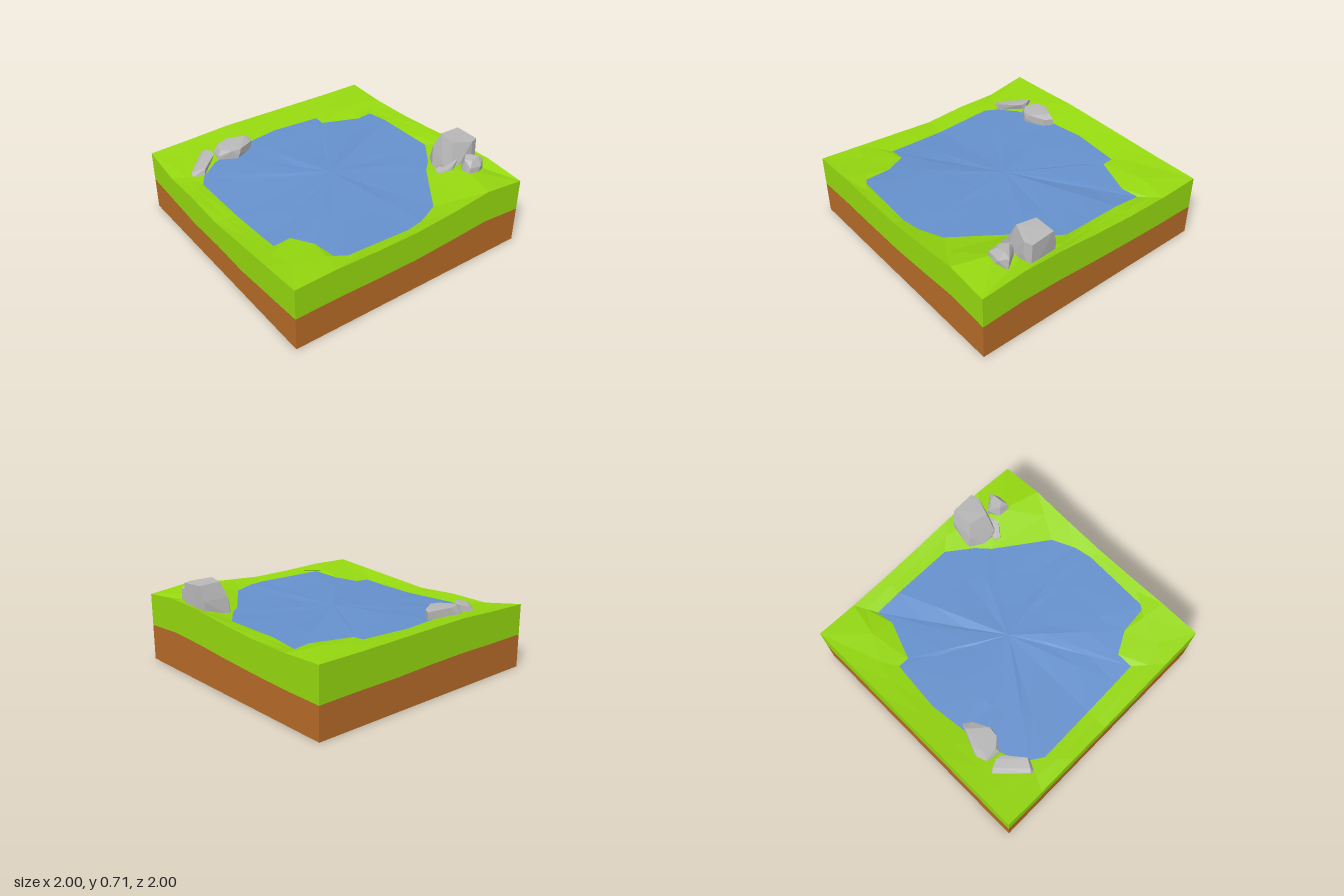
import * as THREE from 'three';
import { ConvexGeometry } from 'three/addons/geometries/ConvexGeometry.js';

const mat = (color) => new THREE.MeshStandardMaterial({ color, flatShading: true });
const grassMat = mat(0x95d80f);
const soilMat = mat(0xb56b27);
const waterMat = mat(0x6691cd);
const rockMat = mat(0xb8b8b8);

// [grass height, soil height] around the square rim, from front left, anticlockwise
const RIM = [
  [0.5, 0.26], [0.44, 0.235], [0.445, 0.21], [0.425, 0.22], [0.45, 0.21], [0.475, 0.235],
  [0.5, 0.26], [0.51, 0.265], [0.5, 0.26], [0.5, 0.26], [0.525, 0.28], [0.565, 0.305],
  [0.53, 0.28], [0.56, 0.3], [0.55, 0.29], [0.52, 0.27], [0.5, 0.255], [0.495, 0.245],
  [0.51, 0.245], [0.51, 0.25], [0.515, 0.25], [0.52, 0.26], [0.525, 0.265], [0.51, 0.26],
];

// Shoreline [x, y, z], one point for each rim point
const SHORE = [
  [-0.66, 0.45, 0.63], [-0.56, 0.435, 0.78], [-0.47, 0.43, 0.84], [0, 0.415, 0.83],
  [0.3, 0.425, 0.825], [0.48, 0.435, 0.82], [0.48, 0.445, 0.69], [0.65, 0.46, 0.6],
  [0.89, 0.475, 0.58], [0.915, 0.475, 0], [0.89, 0.475, -0.14], [0.81, 0.475, -0.32],
  [0.42, 0.475, -0.6], [0.33, 0.475, -0.7], [0.14, 0.48, -0.84], [-0.1, 0.48, -0.84],
  [-0.35, 0.48, -0.84], [-0.57, 0.455, -0.84], [-0.55, 0.46, -0.7], [-0.66, 0.465, -0.4],
  [-0.75, 0.47, -0.4], [-0.785, 0.47, 0], [-0.75, 0.465, 0.28], [-0.71, 0.46, 0.48],
].map((p) => new THREE.Vector3(...p));

// Loop of points around the square edge with heights given by a rule
function rimLoop(heightAt) {
  const corners = [[-1, 1], [1, 1], [1, -1], [-1, -1]];
  return RIM.map((r, i) => {
    const side = Math.floor(i / 6), t = (i % 6) / 6;
    const [ax, az] = corners[side], [bx, bz] = corners[(side + 1) % 4];
    return new THREE.Vector3(ax + (bx - ax) * t, heightAt(r), az + (bz - az) * t);
  });
}

// Faceted skin stretched through successive closed loops
function skin(name, loops, material) {
  const pos = [];
  const tri = (...pts) => pts.forEach((p) => pos.push(p.x, p.y, p.z));
  for (let k = 0; k < loops.length - 1; k++) {
    const a = loops[k], b = loops[k + 1];
    for (let i = 0; i < a.length; i++) {
      const j = (i + 1) % a.length;
      if (!a[i].equals(a[j])) tri(a[i], a[j], b[j]);
      if (!b[i].equals(b[j])) tri(a[i], b[j], b[i]);
    }
  }
  const g = new THREE.BufferGeometry();
  g.setAttribute('position', new THREE.Float32BufferAttribute(pos, 3));
  g.computeVertexNormals();
  const mesh = new THREE.Mesh(g, material);
  mesh.name = name;
  return mesh;
}

// Angular boulder: convex hull of a few [x, y, z] corners
function rock(name, corners) {
  const g = new ConvexGeometry(corners.map((c) => new THREE.Vector3(...c)));
  const mesh = new THREE.Mesh(g, rockMat);
  mesh.name = name;
  return mesh;
}

export function createModel() {
  const model = new THREE.Group();
  model.name = 'pondTile';

  const base = rimLoop(() => 0);
  const soilTop = rimLoop((r) => r[1]);
  const grassTop = rimLoop((r) => r[0]);
  const point = (x, y, z) => base.map(() => new THREE.Vector3(x, y, z));

  // Soil block with its underside
  model.add(skin('soil', [point(0, 0, 0), base, soilTop], soilMat));

  // Grass layer: outer walls, then banks falling to the shore
  const bank = grassTop.map((p, i) => p.clone().lerp(SHORE[i], 0.5));
  bank[12].set(0.7, 0.56, -0.75);
  bank[13].set(0.52, 0.53, -0.84);
  bank[18].set(-0.72, 0.495, -0.72);
  model.add(skin('grass', [soilTop, grassTop, bank, SHORE], grassMat));

  // Gently rippled water
  const ring = (s, amp) => SHORE.map((p, i) => new THREE.Vector3(
    p.x * s, p.y + (0.468 - p.y) * (1 - s) + amp * Math.sin(i * 2.1), p.z * s));
  model.add(skin('water', [SHORE, ring(0.66, 0.004), ring(0.33, 0.005), point(0, 0.472, 0)], waterMat));

  // Rocks on the back right bank
  model.add(rock('largeRock', [
    [0.3, 0.46, -0.74], [0.33, 0.46, -0.93], [0.57, 0.46, -0.96], [0.58, 0.46, -0.72],
    [0.52, 0.46, -0.66], [0.42, 0.46, -0.66], [0.33, 0.6, -0.74], [0.335, 0.6, -0.94],
    [0.52, 0.56, -0.67], [0.585, 0.6, -0.9], [0.37, 0.71, -0.95], [0.56, 0.7, -0.96],
    [0.58, 0.7, -0.9], [0.52, 0.715, -0.75], [0.37, 0.715, -0.78],
  ]));
  model.add(rock('smallRock', [
    [0.6, 0.53, -0.82], [0.65, 0.53, -0.73], [0.74, 0.53, -0.72], [0.75, 0.53, -0.8], [0.71, 0.53, -0.9],
    [0.59, 0.6, -0.81], [0.74, 0.6, -0.74], [0.745, 0.59, -0.84], [0.7, 0.62, -0.9], [0.66, 0.61, -0.87],
    [0.62, 0.645, -0.8], [0.65, 0.645, -0.84], [0.7, 0.65, -0.85], [0.71, 0.64, -0.78], [0.66, 0.635, -0.75],
  ]));
  model.add(rock('slabRock', [
    [0.48, 0.46, -0.64], [0.54, 0.46, -0.61], [0.6, 0.5, -0.7], [0.54, 0.48, -0.78],
    [0.48, 0.5, -0.63], [0.53, 0.5, -0.615], [0.53, 0.585, -0.77], [0.57, 0.585, -0.77], [0.595, 0.56, -0.7],
  ]));

  // Rocks on the front right-hand shore of the viewer's left
  model.add(rock('shoreRock', [
    [-0.83, 0.44, 0.5], [-0.8, 0.44, 0.58], [-0.68, 0.44, 0.59], [-0.6, 0.44, 0.46], [-0.67, 0.44, 0.3],
    [-0.73, 0.44, 0.26], [-0.82, 0.48, 0.5], [-0.79, 0.48, 0.57], [-0.68, 0.48, 0.585], [-0.6, 0.49, 0.44],
    [-0.73, 0.52, 0.26], [-0.67, 0.52, 0.3], [-0.61, 0.53, 0.42], [-0.62, 0.525, 0.5],
    [-0.69, 0.525, 0.56], [-0.77, 0.535, 0.53], [-0.8, 0.54, 0.43], [-0.74, 0.545, 0.31],
  ]));
  model.add(rock('shoreSlab', [
    [-0.84, 0.43, 0.66], [-0.74, 0.43, 0.61], [-0.56, 0.43, 0.78], [-0.6, 0.43, 0.86], [-0.64, 0.43, 0.85],
    [-0.83, 0.475, 0.66], [-0.8, 0.505, 0.64], [-0.74, 0.51, 0.61], [-0.69, 0.505, 0.62],
    [-0.57, 0.49, 0.76], [-0.61, 0.475, 0.83], [-0.63, 0.46, 0.85],
  ]));
  return model;
}
